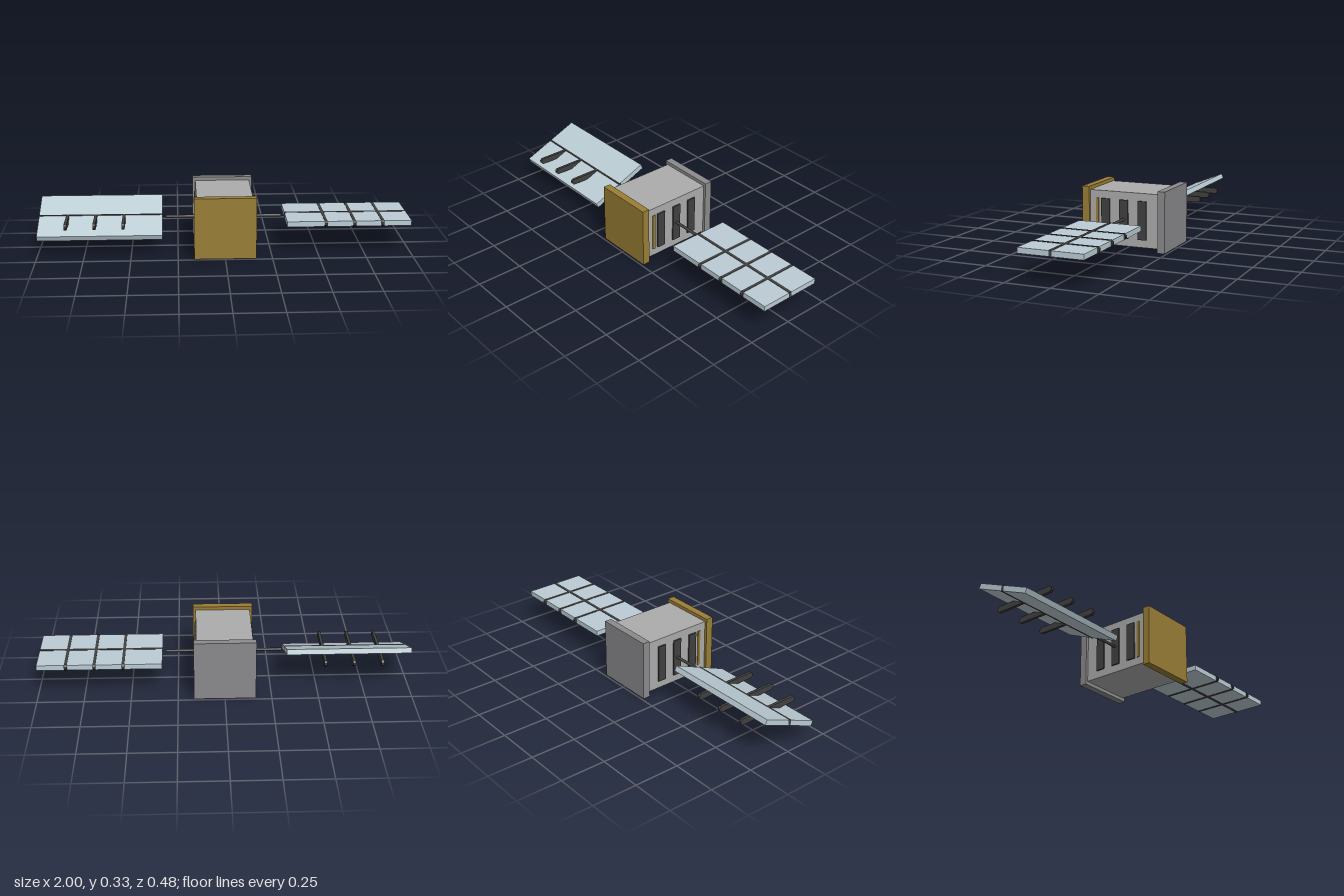
import * as THREE from 'three';

const material = (name, color) => {
  const m = new THREE.MeshStandardMaterial({ color });
  m.name = name;
  return m;
};

export function createModel() {
  const gold = material('gold foil', 0x9a7e35);
  const lightGrey = material('light grey', 0xacacac);
  const midGrey = material('mid grey', 0x8b8b8d);
  const dark = material('dark grey', 0x414141);
  const blue = material('pale blue', 0xbccdd5);

  const model = new THREE.Group();
  model.name = 'satellite';
  const midY = 0.166;

  const add = (parent, name, geometry, mat, x, y, z) => {
    const mesh = new THREE.Mesh(geometry, mat);
    mesh.name = name;
    mesh.position.set(x, y, z);
    parent.add(mesh);
    return mesh;
  };
  const box = (parent, name, mat, size, x, y, z) =>
    add(parent, name, new THREE.BoxGeometry(...size), mat, x, y, z);

  // Body between two wider end plates
  box(model, 'body', lightGrey, [0.3, 0.294, 0.4], 0, midY, 0);
  box(model, 'frontPlate', gold, [0.33, 0.332, 0.041], 0, midY, 0.2185);
  box(model, 'backPlate', midGrey, [0.33, 0.332, 0.041], 0, midY, -0.2185);

  // Rib outline in the z-y plane, with chamfered ends
  const ribShape = new THREE.Shape([
    [-0.184, -0.006], [-0.173, -0.0165], [0.173, -0.0165], [0.184, -0.006],
    [0.184, 0.006], [0.173, 0.0165], [-0.173, 0.0165], [-0.184, 0.006],
  ].map(([z, y]) => new THREE.Vector2(z, y)));
  const ribGeometry = new THREE.ExtrudeGeometry(ribShape, { depth: 0.015, bevelEnabled: false });
  ribGeometry.translate(0, 0, -0.0075);
  ribGeometry.rotateY(Math.PI / 2);

  for (const side of [1, -1]) {
    const label = side > 0 ? 'left' : 'right';

    // Dark side panels and a slim gold strip
    for (const z of [0.106, 0, -0.105])
      box(model, label + 'SidePanel', dark, [0.016, 0.21, 0.049], side * 0.15, midY, z);
    box(model, label + 'GoldStrip', gold, [0.01, 0.21, 0.015], side * 0.15, midY, 0.155);

    // Boom carrying the wing
    const boom = new THREE.CylinderGeometry(0.008, 0.008, 0.165, 12);
    boom.rotateZ(Math.PI / 2);
    add(model, label + 'Boom', boom, dark, side * 0.2325, midY, 0);

    // Solar wing: the right one is tilted, its frame stays level
    const wing = new THREE.Group();
    wing.name = label + 'Wing';
    wing.position.set(side * 0.666, midY, 0);
    model.add(wing);
    const panel = box(wing, label + 'SolarPanel', blue, [0.667, 0.029, 0.35], 0, 0, 0);
    if (side < 0) panel.rotation.x = Math.PI / 8;
    box(wing, label + 'Spar', dark, [0.668, 0.033, 0.016], 0, 0, 0);
    for (const x of [-0.126, 0.027, 0.179])
      add(wing, label + 'Rib', ribGeometry, dark, side * x, 0, 0);
  }
  return model;
}
